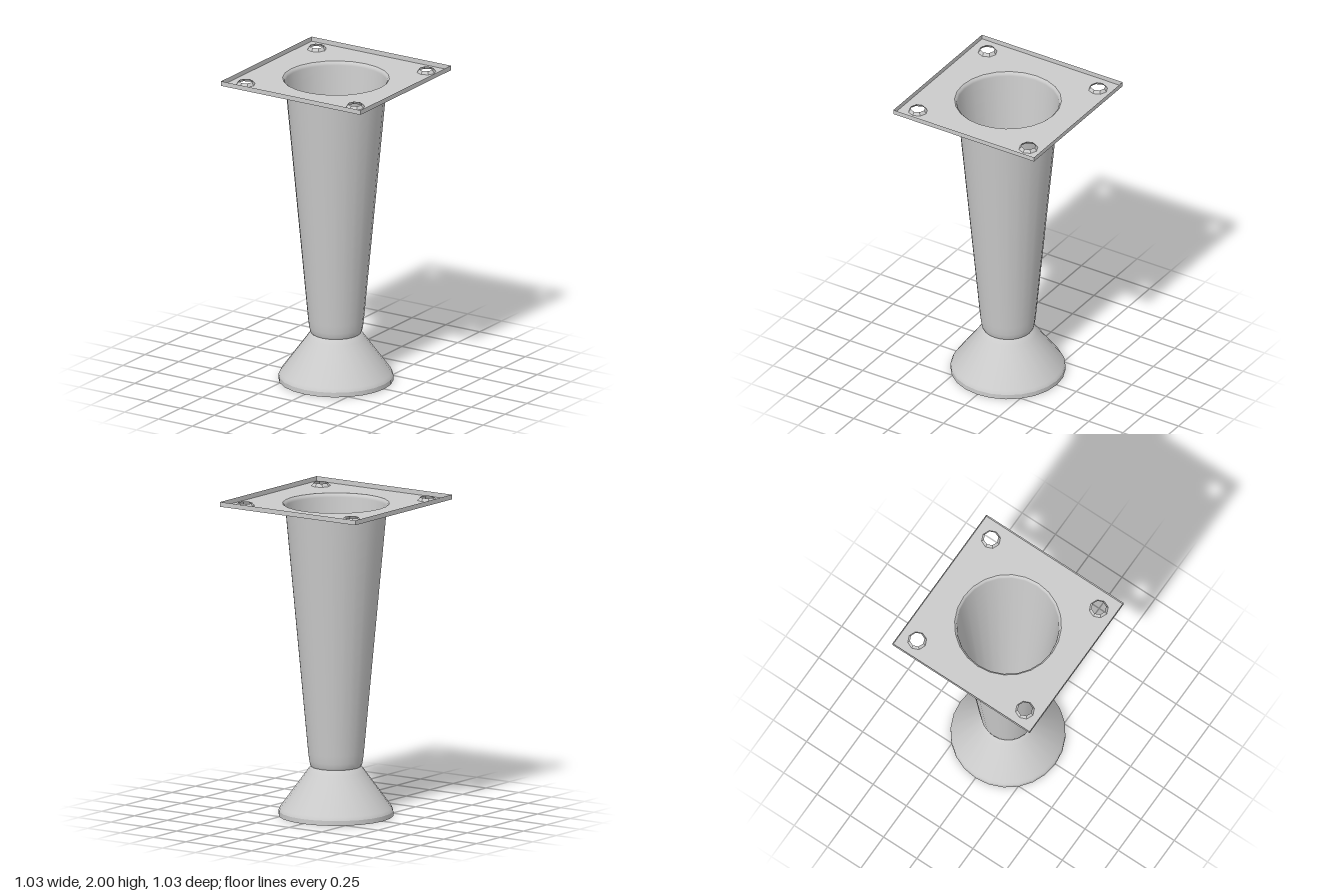
import * as THREE from 'three';

const SEGMENTS = 24;
const HALF = 0.515;     // half width of the plate
const FLOOR = 1.97;     // height of the plate's sheet
const HOLE = 0.405;     // screw hole offset

const smooth = new THREE.MeshStandardMaterial({ color: 0xcccccc, side: THREE.DoubleSide });
const faceted = new THREE.MeshStandardMaterial({ color: 0xcccccc, side: THREE.DoubleSide, flatShading: true });

function add(parent, name, geometry, material) {
  const mesh = new THREE.Mesh(geometry, material);
  mesh.name = name;
  parent.add(mesh);
  return mesh;
}

// Thin turned shell, profile given from bottom to top as [radius, height]
function shell(parent, name, profile) {
  const points = profile.map(([r, y]) => new THREE.Vector2(r, y));
  return add(parent, name, new THREE.LatheGeometry(points, SEGMENTS), smooth);
}

function polygon(x, y, radius, sides) {
  const points = [];
  for (let i = 0; i < sides; i++) {
    const a = (i / sides) * Math.PI * 2;
    points.push(new THREE.Vector2(x + radius * Math.sin(a), y + radius * Math.cos(a)));
  }
  return new THREE.Path(points);
}

export function createModel() {
  const model = new THREE.Group();
  model.name = 'furnitureLeg';

  // Flared hollow foot with a short upright band at the floor
  shell(model, 'footBand', [[0.357, 0], [0.357, 0.03]]);
  shell(model, 'foot', [[0.357, 0.03], [0.347, 0.052], [0.182, 0.278], [0.168, 0.298], [0.155, 0.31]]);

  // Tapered hollow leg, rounded in at the bottom and flared into the plate
  shell(model, 'leg', [
    [0.155, 0.31], [0.162, 0.322], [0.168, 0.35], [0.174, 0.4],
    [0.317, 1.945], [0.321, 1.96], [0.332, FLOOR],
  ]);

  // Mounting plate: a sheet with a central opening and four screw holes
  const plate = new THREE.Group();
  plate.name = 'mountingPlate';
  model.add(plate);

  const outline = new THREE.Shape([[-1, -1], [1, -1], [1, 1], [-1, 1]]
    .map(([x, y]) => new THREE.Vector2(x * HALF, y * HALF)));
  outline.holes.push(polygon(0, 0, 0.332, SEGMENTS));
  for (const x of [-HOLE, HOLE]) {
    for (const z of [-HOLE, HOLE]) {
      outline.holes.push(polygon(x, -z, 0.06, 8));
      // Low tapered collar round each screw hole
      const collar = add(plate, 'screwHoleCollar', new THREE.CylinderGeometry(0.046, 0.06, 0.02, 8, 1, true), faceted);
      collar.position.set(x, FLOOR + 0.01, z);
    }
  }
  const sheet = add(plate, 'plateSheet', new THREE.ShapeGeometry(outline), faceted);
  sheet.rotation.x = -Math.PI / 2;
  sheet.position.y = FLOOR;

  // Upturned rim along the plate's four edges
  const height = 2 - FLOOR;
  const rim = add(plate, 'plateRim',
    new THREE.CylinderGeometry(HALF * Math.SQRT2, HALF * Math.SQRT2, height, 4, 1, true), faceted);
  rim.rotation.y = Math.PI / 4;
  rim.position.y = FLOOR + height / 2;

  return model;
}
